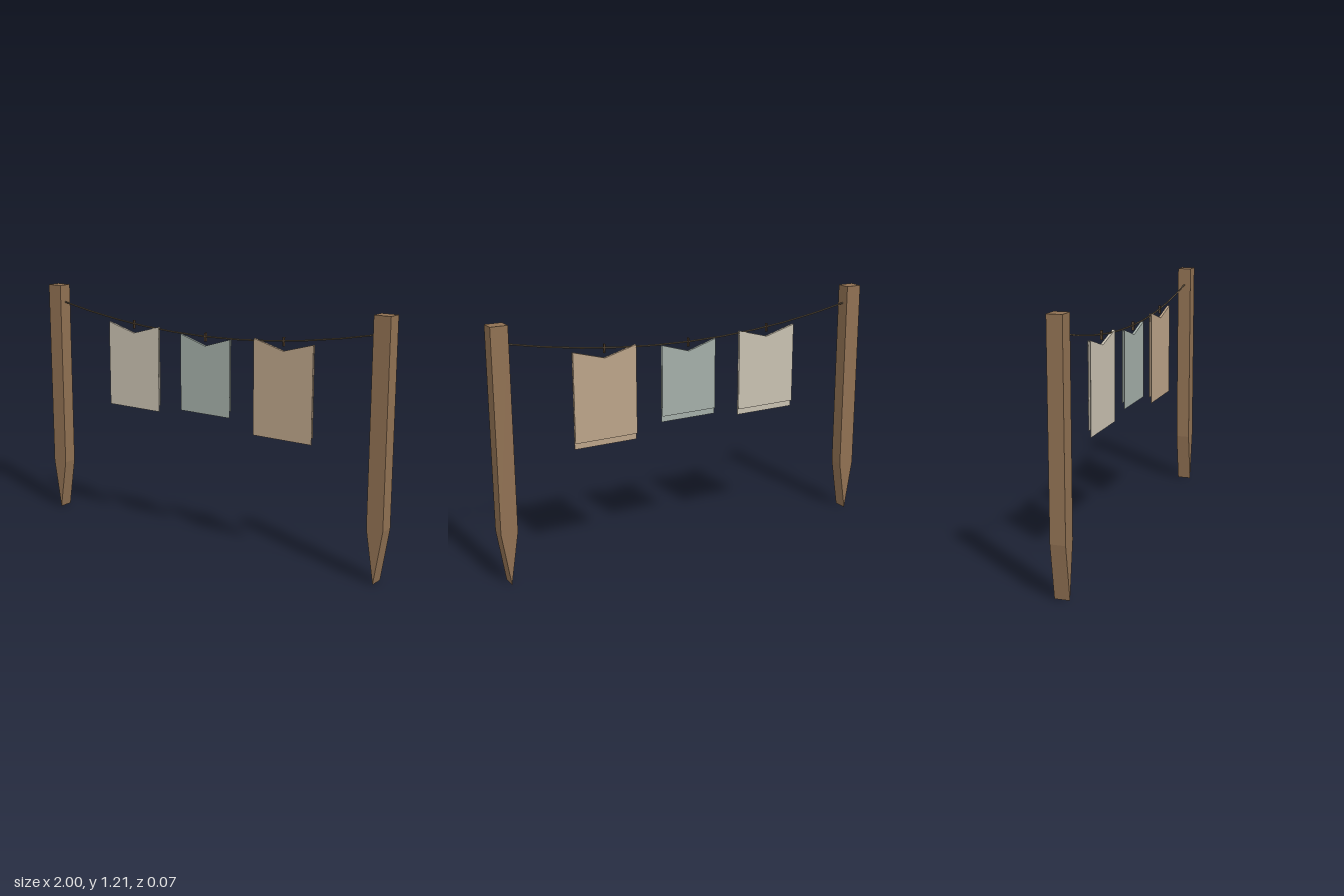
import * as THREE from 'three';

const mat = (name, color, extra = {}) =>
  Object.assign(new THREE.MeshStandardMaterial({ color, ...extra }), { name });

// Flat outline pushed out along z, centred on the given z
function slab(points, depth, z, material, name) {
  const shape = new THREE.Shape(points.map(([x, y]) => new THREE.Vector2(x, y)));
  const geo = new THREE.ExtrudeGeometry(shape, { depth, bevelEnabled: false });
  geo.translate(0, 0, z - depth / 2);
  const mesh = new THREE.Mesh(geo, material);
  mesh.name = name;
  return mesh;
}

export function createModel() {
  const model = new THREE.Group();
  model.name = 'clothesline';

  const wood = mat('wood', 0x8f7052);
  const rope = mat('rope', 0x6b5d4a);
  const pegWood = mat('peg', 0x5a4632);
  const cream = mat('creamCloth', 0xc8c0b0);
  const sage = mat('sageCloth', 0xa3aea8);
  const tan = mat('tanCloth', 0xbba388);

  // Stakes with a wedge-shaped foot
  for (const side of [-1, 1]) {
    const post = slab(
      [[-0.041, 1.21], [-0.041, 0.255], [0, 0], [0.041, 0.255], [0.041, 1.21]],
      0.07, 0, wood, side > 0 ? 'leftPost' : 'rightPost');
    post.position.x = side * 0.959;
    model.add(post);
  }

  // Sagging line
  const sag = x => 1.025 + 0.095 * (x / 0.917) ** 2;
  const path = new THREE.CurvePath();
  const steps = 10;
  const at = i => {
    const x = -0.93 + 1.86 * i / steps;
    return new THREE.Vector3(x, sag(x), 0);
  };
  for (let i = 0; i < steps; i++) path.add(new THREE.LineCurve3(at(i), at(i + 1)));
  const line = new THREE.Mesh(new THREE.TubeGeometry(path, 40, 0.004, 6), rope);
  line.name = 'line';
  model.add(line);

  // Folded cloths: long front sheet, shorter back sheet, notched fold on top
  const cloths = [
    { name: 'creamCloth', x: -0.447, w: 0.322, top: 1.045, bottom: 0.617, material: cream },
    { name: 'sageCloth', x: 0, w: 0.294, top: 1.024, bottom: 0.645, material: sage },
    { name: 'tanCloth', x: 0.445, w: 0.322, top: 1.045, bottom: 0.583, material: tan },
  ];
  for (const { name, x, w, top, bottom, material } of cloths) {
    const cloth = new THREE.Group();
    cloth.name = name;
    const h = w / 2, notch = top - 0.044;
    const sheet = low => [[-h, top], [-h, low], [h, low], [h, top], [0, notch]];
    cloth.add(slab(sheet(bottom), 0.003, 0.005, material, 'frontSheet'));
    cloth.add(slab(sheet(bottom + 0.03), 0.003, -0.005, material, 'backSheet'));
    cloth.add(slab(
      [[-h, top], [-h, top - 0.004], [0, notch - 0.004], [h, top - 0.004], [h, top], [0, notch]],
      0.01, 0, material, 'fold'));
    cloth.position.x = x;
    model.add(cloth);

    // Peg gripping the line
    const peg = new THREE.Mesh(new THREE.BoxGeometry(0.007, 0.042, 0.012), pegWood);
    peg.name = 'peg';
    peg.position.set(x, sag(x) - 0.003, 0);
    model.add(peg);
  }

  return model;
}
